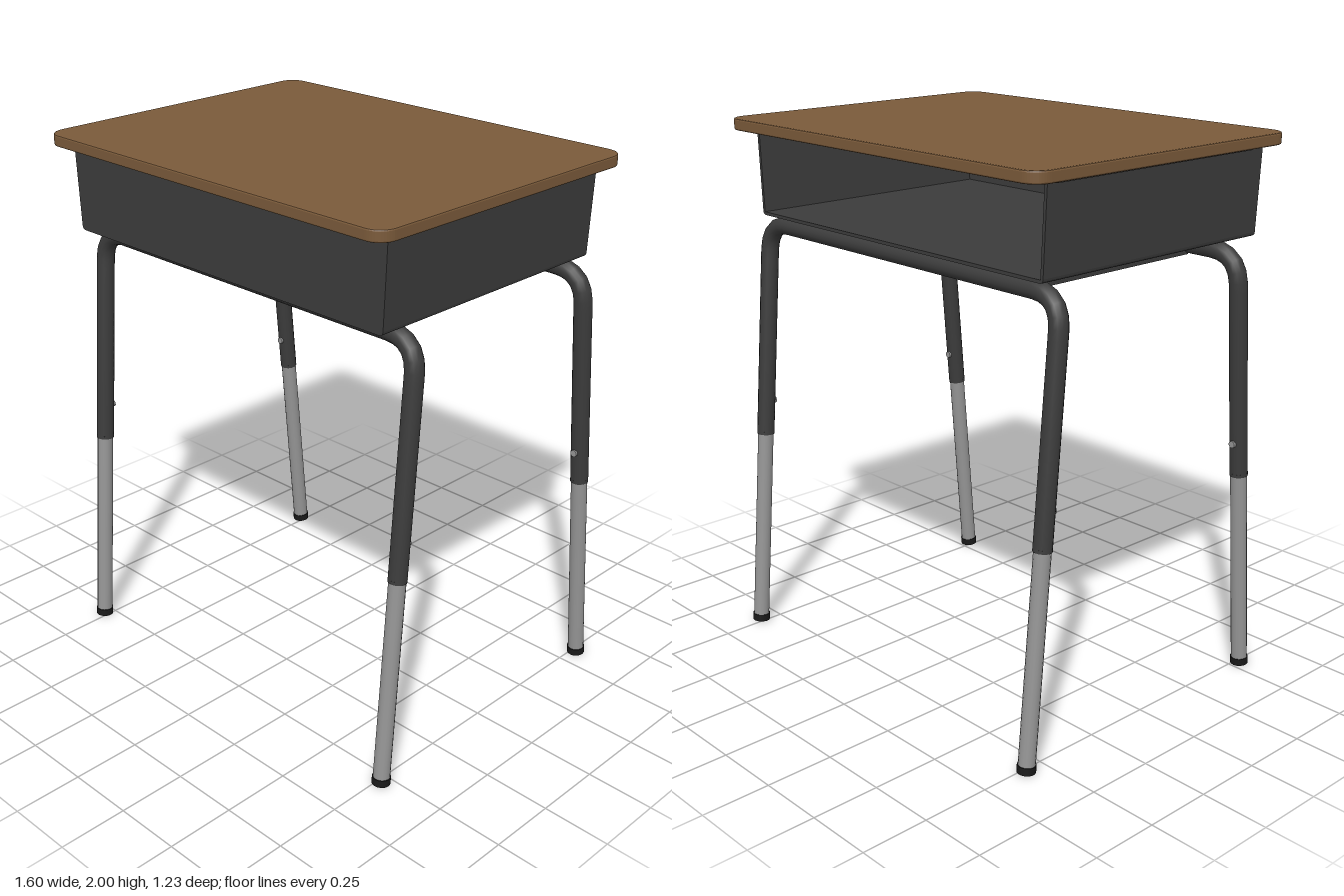
import * as THREE from 'three';

const mat = (name, color, side = THREE.FrontSide) => {
  const m = new THREE.MeshStandardMaterial({ color, side });
  m.name = name;
  return m;
};

export function createModel() {
  const root = new THREE.Group();
  root.name = 'schoolDesk';
  const wood = mat('wood brown', 0x7a5a3a);
  const steel = mat('charcoal steel', 0x3c3c3c, THREE.DoubleSide);
  const silver = mat('silver tube', 0x969696);
  const rubber = mat('black rubber', 0x1a1a1a);

  const add = (name, geo, m, parent = root) => {
    const mesh = new THREE.Mesh(geo, m);
    mesh.name = name;
    parent.add(mesh);
    return mesh;
  };
  // Straight cylinder between two points
  const rod = (name, a, b, r, m, parent, sides = 16) => {
    const dir = b.clone().sub(a);
    const mesh = add(name, new THREE.CylinderGeometry(r, r, dir.length(), sides), m, parent);
    mesh.position.copy(a).add(b).multiplyScalar(0.5);
    mesh.quaternion.setFromUnitVectors(new THREE.Vector3(0, 1, 0), dir.normalize());
    return mesh;
  };

  // Table top: rounded rectangle with a slight edge bevel
  const w = 0.795, d = 0.597, r = 0.06;
  const outline = new THREE.Shape();
  outline.absarc(w - r, d - r, r, 0, Math.PI / 2);
  outline.absarc(-w + r, d - r, r, Math.PI / 2, Math.PI);
  outline.absarc(-w + r, -d + r, r, Math.PI, Math.PI * 1.5);
  outline.absarc(w - r, -d + r, r, Math.PI * 1.5, Math.PI * 2);
  outline.closePath();
  const top = new THREE.ExtrudeGeometry(outline, {
    depth: 0.03, bevelThickness: 0.006, bevelSize: 0.006, bevelSegments: 2, curveSegments: 6,
  });
  top.rotateX(-Math.PI / 2).translate(0, 1.964, 0.012);
  add('tableTop', top, wood);

  // Book box: folded sheet with two side walls and a floor, open at the back
  const t = 0.012, yT = 1.96, yB = 1.64;
  const sheet = new THREE.Shape();
  sheet.moveTo(-0.753, yT);
  sheet.lineTo(-0.738, yB + 0.015);
  sheet.quadraticCurveTo(-0.737, yB, -0.722, yB);
  sheet.lineTo(0.722, yB);
  sheet.quadraticCurveTo(0.737, yB, 0.738, yB + 0.015);
  sheet.lineTo(0.753, yT);
  const wall = sheet.clone();
  sheet.lineTo(0.753 - t, yT);
  sheet.lineTo(0.738 - t, yB + t);
  sheet.lineTo(-0.738 + t, yB + t);
  sheet.lineTo(-0.753 + t, yT);
  sheet.closePath();
  const tray = new THREE.ExtrudeGeometry(sheet, { depth: 1.02, bevelEnabled: false, curveSegments: 4 });
  add('boxSidesAndFloor', tray.translate(0, 0, -0.495), steel);
  wall.closePath();
  const frontWall = new THREE.ExtrudeGeometry(wall, { depth: t, bevelEnabled: false, curveSegments: 4 });
  add('boxFrontWall', frontWall.translate(0, 0, 0.521), steel);
  // Mounting flanges under the top
  for (const s of [-1, 1]) {
    const flange = add('boxFlange', new THREE.BoxGeometry(0.04, 0.008, 0.92), steel);
    flange.position.set(s * 0.76, 1.956, -0.02);
  }

  // Two bent leg frames, front and back
  const frames = [
    { name: 'frontFrame', foot: 0.54, head: 0.41 },
    { name: 'backFrame', foot: -0.58, head: -0.445 },
  ];
  const yBar = 1.602, X = 0.767, R = 0.033;
  for (const f of frames) {
    const g = new THREE.Group();
    g.name = f.name;
    root.add(g);
    const at = (x, y) => new THREE.Vector3(x, y, f.foot + (f.head - f.foot) * y / yBar);

    // Upper tube: leg, bend, crossbar, bend, leg
    const path = new THREE.CurvePath();
    path.add(new THREE.LineCurve3(at(-X, 0.78), at(-X, 1.49)));
    path.add(new THREE.QuadraticBezierCurve3(at(-X, 1.49), at(-X, yBar), at(-0.65, yBar)));
    path.add(new THREE.LineCurve3(at(-0.65, yBar), at(0.65, yBar)));
    path.add(new THREE.QuadraticBezierCurve3(at(0.65, yBar), at(X, yBar), at(X, 1.49)));
    path.add(new THREE.LineCurve3(at(X, 1.49), at(X, 0.78)));
    add('upperTube', new THREE.TubeGeometry(path, 90, R, 14, false), steel, g);

    for (const s of [-1, 1]) {
      const x = s * X;
      rod('sleeveEnd', at(x, 0.778), at(x, 0.79), R, steel, g);
      rod('lowerLeg', at(x, 0.02), at(x, 0.85), 0.03, silver, g);
      rod('footCap', at(x, 0.003), at(x, 0.03), 0.033, rubber, g);
      // Height adjustment screw on the inner face
      const screw = at(x, 0.905);
      const inward = -Math.sign(f.foot);
      const a = screw.clone(), b = screw.clone();
      a.z += inward * 0.02;
      b.z += inward * 0.04;
      rod('adjustScrew', a, b, 0.013, silver, g, 10);
    }
  }

  // Rails joining the frames under the box
  for (const s of [-1, 1]) {
    const rail = add('supportRail', new THREE.BoxGeometry(0.045, 0.07, 0.84), steel);
    rail.position.set(s * 0.53, 1.601, -0.017);
  }
  return root;
}
